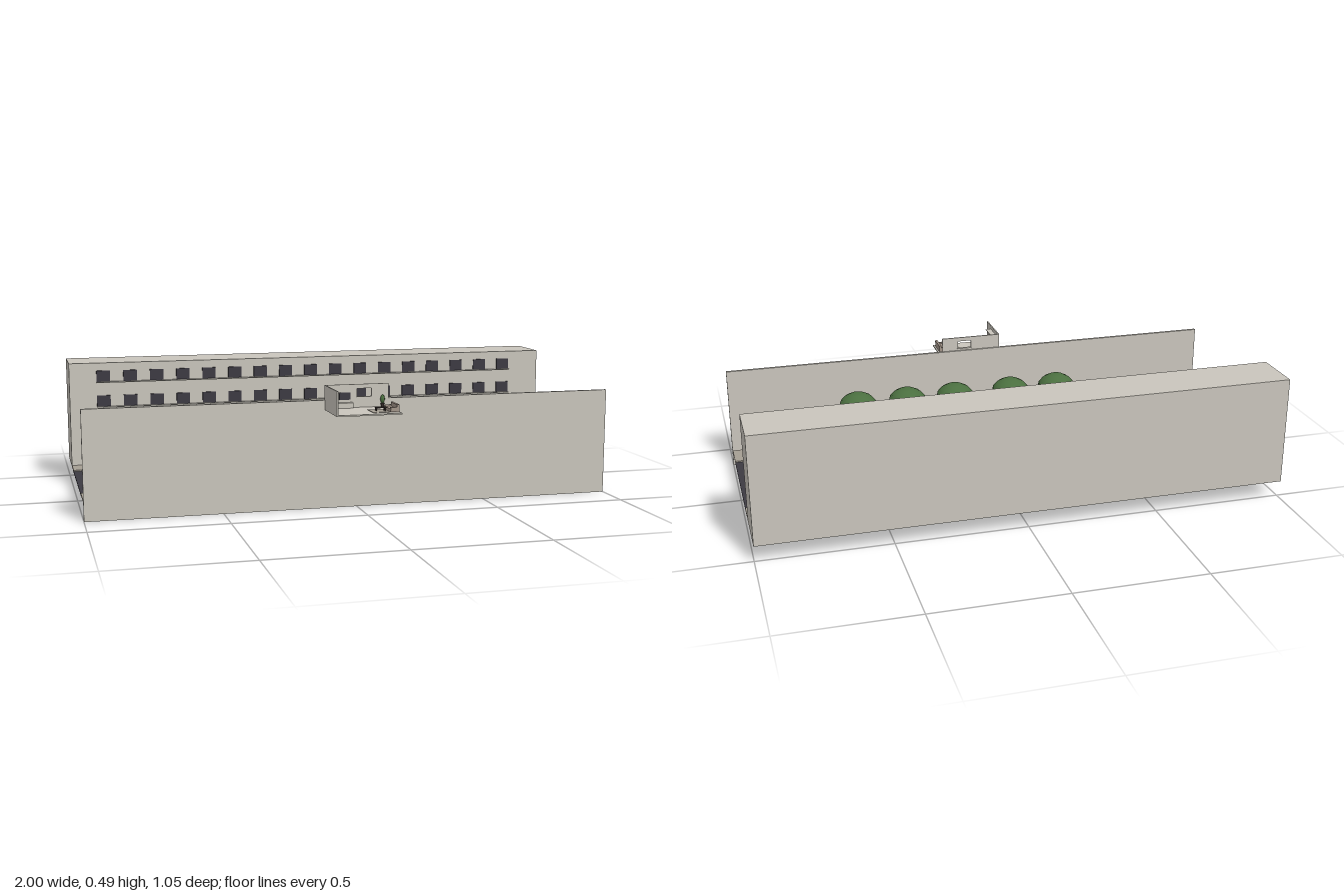
import * as THREE from 'three';

const mat = (name, color) => Object.assign(new THREE.MeshStandardMaterial({ color }), { name });

export function createModel() {
  const plaster = mat('plaster', 0xc9c5bc);
  const pavement = mat('pavement', 0xa59e93);
  const asphalt = mat('asphalt', 0x3c3a42);
  const leaf = mat('leaf', 0x4b7040);
  const bark = mat('bark', 0x3b3230);
  const fabric = mat('fabric', 0xa3958a);

  const model = new THREE.Group();
  model.name = 'streetWithRoom';

  const add = (parent, name, geometry, material, x = 0, y = 0, z = 0) => {
    const mesh = new THREE.Mesh(geometry, material);
    mesh.name = name;
    mesh.position.set(x, y, z);
    parent.add(mesh);
    return mesh;
  };
  // Box given by its extents on each axis
  const box = (parent, name, material, [x0, x1], [y0, y1], [z0, z1]) =>
    add(parent, name, new THREE.BoxGeometry(x1 - x0, y1 - y0, z1 - z0), material,
      (x0 + x1) / 2, (y0 + y1) / 2, (z0 + z1) / 2);
  const group = (name) => {
    const g = new THREE.Group();
    g.name = name;
    model.add(g);
    return g;
  };

  // Street
  const full = [-1, 1];
  box(model, 'road', asphalt, full, [0.066, 0.07], [-0.255, 0.211]);
  box(model, 'frontPavement', pavement, full, [0.069, 0.075], [0.204, 0.313]);
  box(model, 'backPavement', pavement, full, [0.069, 0.075], [-0.324, -0.222]);
  box(model, 'frontWall', plaster, full, [0, 0.403], [0.338, 0.349]);

  // Apartment block with four rows of windows above long ledges
  const block = group('apartmentBlock');
  box(block, 'blockBody', plaster, full, [0.07, 0.486], [-0.523, -0.324]);
  for (let row = 0; row < 4; row++) {
    const y = 0.109 + row * 0.1;
    box(block, 'ledge', plaster, [-0.893, 0.867], [y - 0.002, y + 0.002], [-0.324, -0.309]);
    for (let i = 0; i < 17; i++) {
      const x = -0.866 + i * 0.1066;
      box(block, 'window', asphalt, [x - 0.027, x + 0.027], [y + 0.002, y + 0.046], [-0.324, -0.319]);
    }
  }

  // Street trees
  const crown = new THREE.SphereGeometry(0.079, 12, 8);
  crown.scale(1, 0.8, 1);
  const trunk = new THREE.CylinderGeometry(0.004, 0.004, 0.125, 8);
  for (const x of [-0.335, -0.137, 0.098, 0.297, 0.498]) {
    const tree = group('tree');
    tree.position.set(x, 0, 0.227);
    add(tree, 'trunk', trunk, bark, 0, 0.137, 0);
    add(tree, 'crown', crown, leaf, 0, 0.242, 0);
  }

  // Open room: floor, one side wall and a back wall with a window opening
  const room = group('room');
  box(room, 'floor', plaster, [-0.122, 0.12], [0.367, 0.372], [0.345, 0.523]);
  box(room, 'sideWall', plaster, [-0.122, -0.117], [0.367, 0.458], [0.345, 0.523]);
  const backWall = new THREE.Shape([[-0.117, 0.372], [0.12, 0.372], [0.12, 0.458], [-0.117, 0.458]]
    .map(([x, y]) => new THREE.Vector2(x, y)));
  backWall.holes.push(new THREE.Path([[0.0, 0.412], [0.0, 0.442], [0.055, 0.442], [0.055, 0.412]]
    .map(([x, y]) => new THREE.Vector2(x, y))));
  add(room, 'backWall', new THREE.ExtrudeGeometry(backWall, { depth: 0.005, bevelEnabled: false }),
    plaster, 0, 0, 0.345);
  box(room, 'windowSill', plaster, [-0.003, 0.058], [0.409, 0.412], [0.341, 0.354]);

  // Sofa with arms, and a rug under a low table
  box(room, 'sofaSeat', fabric, [0.082, 0.114], [0.374, 0.385], [0.428, 0.503]);
  box(room, 'sofaBack', fabric, [0.106, 0.115], [0.374, 0.4], [0.428, 0.503]);
  for (const z of [0.428, 0.496])
    box(room, 'sofaArm', fabric, [0.082, 0.114], [0.374, 0.391], [z, z + 0.007]);
  box(room, 'rug', pavement, [0.02, 0.088], [0.372, 0.3735], [0.42, 0.492]);
  box(room, 'tableTop', bark, [0.038, 0.076], [0.384, 0.387], [0.447, 0.468]);
  for (const x of [0.041, 0.073])
    for (const z of [0.45, 0.465])
      box(room, 'tableLeg', bark, [x - 0.0015, x + 0.0015], [0.372, 0.384], [z - 0.0015, z + 0.0015]);

  // Sideboard, screens and tall shelf
  box(room, 'sideboard', plaster, [-0.08, -0.018], [0.372, 0.392], [0.35, 0.365]);
  box(room, 'backScreen', asphalt, [-0.068, -0.027], [0.402, 0.429], [0.35, 0.354]);
  box(room, 'sideScreen', asphalt, [-0.117, -0.113], [0.4, 0.432], [0.46, 0.485]);
  box(room, 'shelfTop', plaster, [-0.117, -0.095], [0.441, 0.444], [0.362, 0.46]);
  for (const z of [0.362, 0.415])
    box(room, 'shelfSide', plaster, [-0.117, -0.095], [0.372, 0.441], [z, z + 0.003]);
  for (const y of [0.395, 0.417])
    box(room, 'shelfBoard', plaster, [-0.117, -0.095], [y, y + 0.003], [0.362, 0.418]);

  // Potted plant
  add(room, 'plantPot', new THREE.CylinderGeometry(0.007, 0.005, 0.014, 10), bark, 0.093, 0.379, 0.364);
  const foliage = add(room, 'plantLeaves', new THREE.SphereGeometry(0.009, 8, 6), leaf, 0.093, 0.402, 0.364);
  foliage.scale.y = 1.8;

  return model;
}
